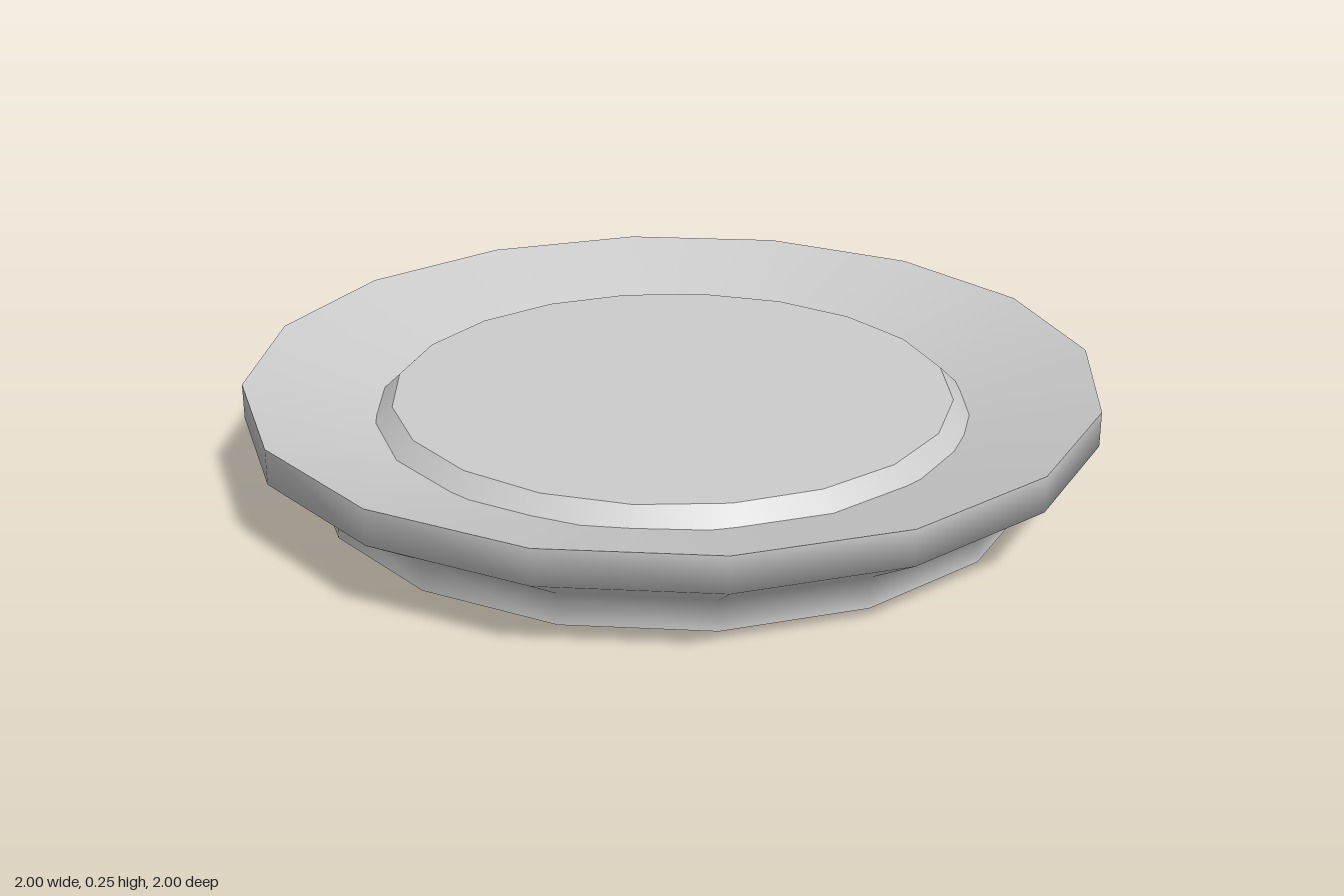
import * as THREE from 'three';

const material = new THREE.MeshStandardMaterial({ color: 0xcccccc });

// Turned surface; the profile runs from the underside outward, up, and back in
function turned(name, profile, sides) {
  const points = profile.map(([r, y]) => new THREE.Vector2(r, y));
  const mesh = new THREE.Mesh(new THREE.LatheGeometry(points, sides), material);
  mesh.name = name;
  return mesh;
}

export function createModel() {
  const group = new THREE.Group();
  group.name = 'shallowDish';

  // Dish body: separate surfaces keep the rim and foot edges sharp
  const body = new THREE.Group();
  body.name = 'dishBody';
  body.add(
    turned('underside', [[0, 0], [0.848, 0.008]], 16),
    turned('outerWall', [[0.848, 0.008], [0.848, 0.08], [1, 0.172], [1, 0.255]], 16),
    turned('slopingRim', [[1, 0.255], [0.6, 0.135]], 16),
  );

  // Raised centre plate with a bevelled edge, sunk into the sloping rim
  const plate = new THREE.Group();
  plate.name = 'centrePlate';
  plate.add(
    turned('plateBevel', [[0.725, 0.143], [0.66, 0.205]], 20),
    turned('plateTop', [[0.66, 0.205], [0, 0.205]], 20),
  );

  group.add(body, plate);
  return group;
}
